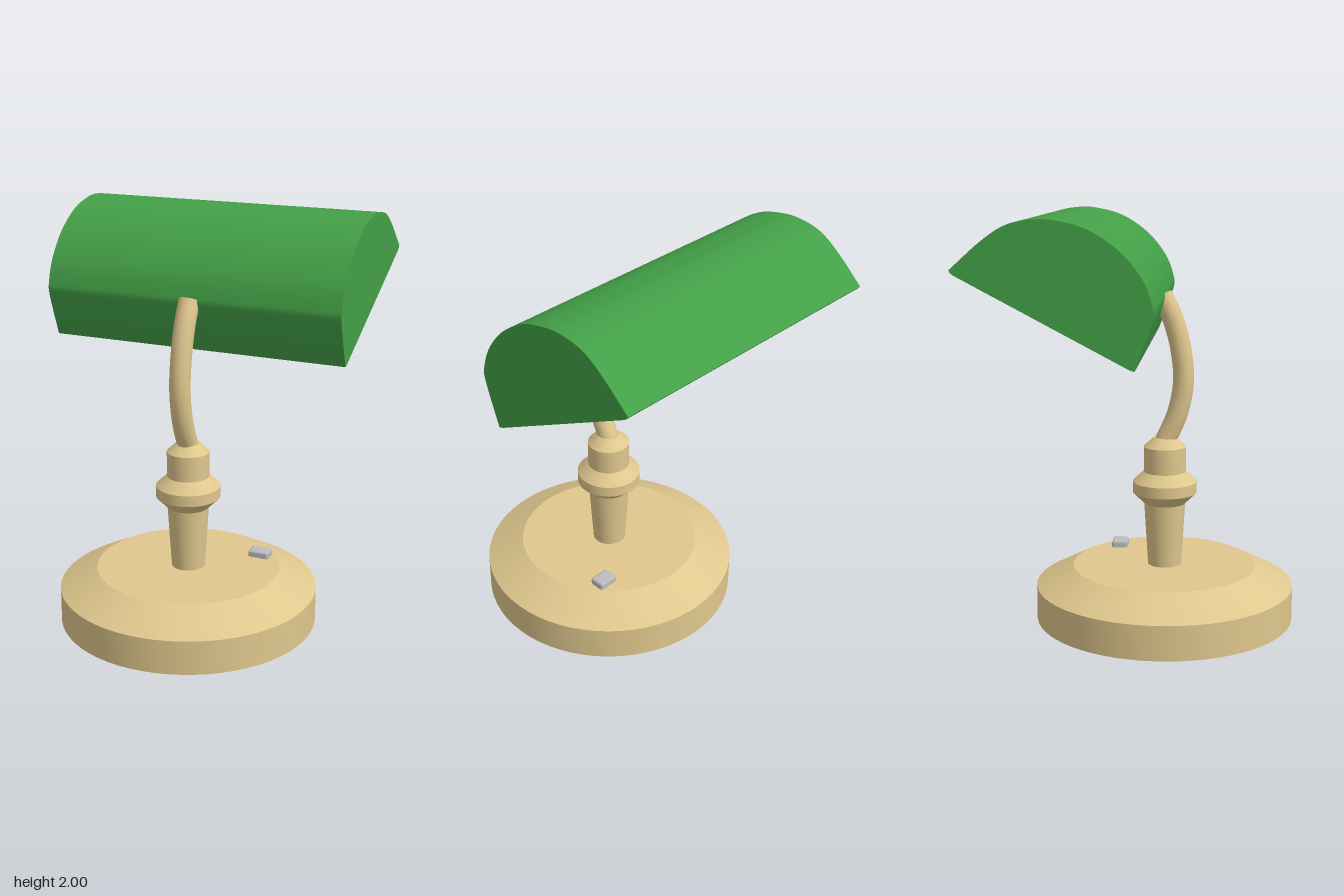
import * as THREE from 'three';
import { toCreasedNormals } from 'three/addons/utils/BufferGeometryUtils.js';
import { RoundedBoxGeometry } from 'three/addons/geometries/RoundedBoxGeometry.js';

const v2 = (p) => new THREE.Vector2(p[0], p[1]);

export function createModel() {
  const lamp = new THREE.Group();
  lamp.name = 'deskLamp';
  const brass = new THREE.MeshStandardMaterial({ name: 'brass', color: 0xdfc78d });
  const green = new THREE.MeshStandardMaterial({ name: 'green', color: 0x43a047 });
  const grey = new THREE.MeshStandardMaterial({ name: 'grey', color: 0xbdbdbd });
  const axisZ = 0.125; // the foot and stem stand forward of the centre

  const add = (name, geometry, material, x = 0, y = 0, z = 0, parent = lamp) => {
    const mesh = new THREE.Mesh(geometry, material);
    mesh.name = name;
    mesh.position.set(x, y, z);
    parent.add(mesh);
    return mesh;
  };
  const lathe = (profile, sides) =>
    toCreasedNormals(new THREE.LatheGeometry(profile.map(v2), sides), 0.4);

  // Hollow foot, open underneath
  add('base', lathe([
    [0, 0.255], [0.45, 0.255], [0.63, 0.165], [0.63, 0],
    [0.638, 0], [0.638, 0.17], [0.455, 0.267], [0, 0.267],
  ], 64), brass, 0, 0, axisZ);

  // Turned stem with collar
  add('stem', lathe([
    [0.082, 0.26], [0.102, 0.58], [0.158, 0.635], [0.158, 0.69],
    [0.104, 0.74], [0.104, 0.865], [0.055, 0.91], [0, 0.91],
  ], 40), brass, 0, 0, axisZ);

  // Bent arm, its tip passing through the shade
  const armPath = new THREE.CatmullRomCurve3([
    [0.89, 0.125], [1.03, 0.185], [1.19, 0.214], [1.36, 0.198], [1.51, 0.155], [1.61, 0.107],
  ].map(([y, z]) => new THREE.Vector3(0, y, z)));
  add('arm', new THREE.TubeGeometry(armPath, 32, 0.051, 20), brass);
  const tip = add('armTip', new THREE.CircleGeometry(0.051, 20), brass);
  tip.position.copy(armPath.getPoint(1));
  tip.lookAt(tip.position.clone().add(armPath.getTangent(1)));

  // Switch on the foot
  add('switch', new RoundedBoxGeometry(0.106, 0.07, 0.08, 1, 0.012), grey, 0.287, 0.265, -0.125);

  // Shade section: x here runs towards the back
  const curve = new THREE.SplineCurve([
    [-0.042, 1.355], [-0.117, 1.565], [-0.118, 1.64], [-0.075, 1.75], [0.02, 1.867], [0.154, 1.957],
    [0.286, 1.994], [0.382, 2.0], [0.5, 1.978], [0.61, 1.91], [0.755, 1.782],
  ].map(v2));
  const outer = curve.getPoints(50);
  const inner = outer.map((p, i) => {
    const t = curve.getTangent(i / 50);
    return new THREE.Vector2(p.x + t.y * 0.025, p.y - t.x * 0.025);
  });
  const extrude = (points, depth) => {
    const geometry = new THREE.ExtrudeGeometry(new THREE.Shape(points), { depth, bevelEnabled: false });
    geometry.translate(0, 0, -depth / 2).rotateY(Math.PI / 2);
    return toCreasedNormals(geometry, 0.5);
  };
  const shade = new THREE.Group();
  shade.name = 'shade';
  lamp.add(shade);
  add('shadeShell', extrude([...outer, ...inner.slice().reverse()], 1.49), green, 0, 0, 0, shade);
  for (const side of [1, -1]) {
    add(side > 0 ? 'leftShadeEnd' : 'rightShadeEnd',
      extrude([...outer, inner[50], inner[0]], 0.01), green, side * 0.75, 0, 0, shade);
  }

  // Light tube between the shade ends
  add('lightTube', new THREE.CylinderGeometry(0.046, 0.046, 1.49, 24).rotateZ(Math.PI / 2),
    grey, 0, 1.67, -0.21);

  return lamp;
}
